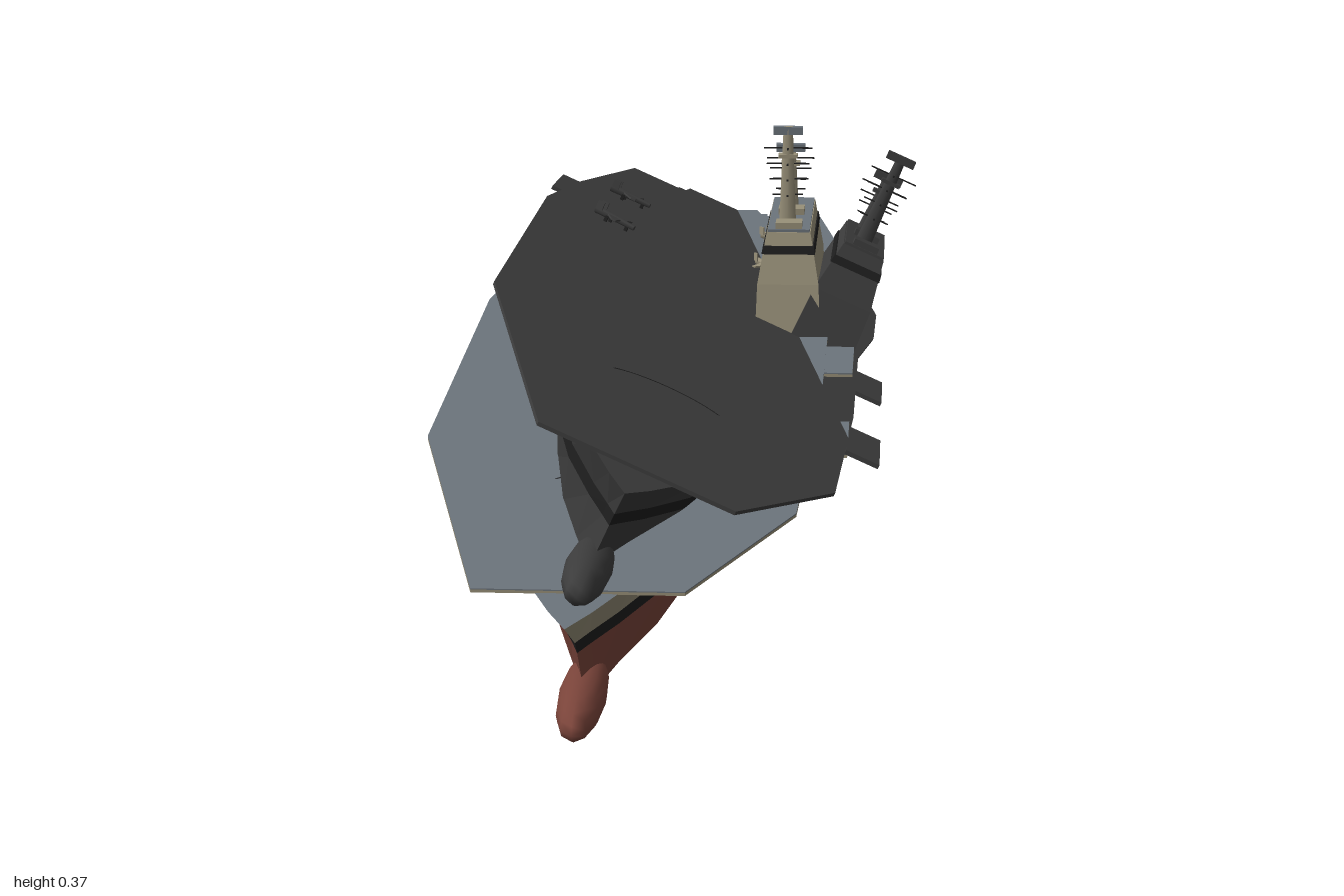
import * as THREE from 'three';

const DECK = 0.142;
const mat = (name, color, double = true) => {
  const m = new THREE.MeshStandardMaterial({ color });
  m.name = name;
  if (double) m.side = THREE.DoubleSide;
  return m;
};

// Skin between rows of [x, y, z] points, flat shaded; closed rows wrap round, caps close the ends
function loft(rows, { closed = false, capStart = false, capEnd = false } = {}) {
  const p = [], n = rows[0].length;
  const tri = (...pts) => pts.forEach(v => p.push(...v));
  for (let i = 0; i < rows.length - 1; i++) {
    for (let j = 0; j < (closed ? n : n - 1); j++) {
      const k = (j + 1) % n, a = rows[i][j], b = rows[i][k], c = rows[i + 1][k], d = rows[i + 1][j];
      tri(a, b, c); tri(a, c, d);
    }
  }
  const fan = (r, flip) => {
    for (let j = 1; j < n - 1; j++) flip ? tri(r[0], r[j + 1], r[j]) : tri(r[0], r[j], r[j + 1]);
  };
  if (capStart) fan(rows[0], true);
  if (capEnd) fan(rows[rows.length - 1], false);
  const g = new THREE.BufferGeometry();
  g.setAttribute('position', new THREE.Float32BufferAttribute(p, 3));
  g.computeVertexNormals();
  return g;
}

function add(parent, name, geo, material, x = 0, y = 0, z = 0) {
  const m = new THREE.Mesh(geo, material);
  m.name = name;
  m.position.set(x, y, z);
  parent.add(m);
  return m;
}
const box = (w, h, d) => new THREE.BoxGeometry(w, h, d);

// Tapered block from levels [y, x0, x1, z0, z1]
const block = levels => loft(
  levels.map(([y, a, b, c, d]) => [[a, y, d], [b, y, d], [b, y, c], [a, y, c]]),
  { closed: true, capStart: true, capEnd: true });

// Hull stations: [position along length, width, top width, keel rise, waterline rise]
const STATIONS = [
  [-1, 0.62, 0.78, 0.045, 0], [-0.8, 0.8, 0.88, 0.022, 0], [-0.55, 0.95, 0.97, 0.002, 0],
  [-0.3, 1, 1, 0, 0], [0.25, 1, 1, 0, 0], [0.5, 0.82, 0.9, 0, 0.002], [0.7, 0.55, 0.7, 0, 0.008],
  [0.86, 0.25, 0.4, 0.003, 0.015], [0.95, 0.08, 0.16, 0.008, 0.021], [1, 0, 0, 0.012, 0.025],
];
// Hull levels: [half width, height, bow end, stern end]
const LEVELS = [
  [0.035, 0.002, 0.8, -0.93], [0.085, 0.02, 0.83, -0.95], [0.105, 0.06, 0.89, -0.975],
  [0.107, 0.075, 0.91, -0.98], [0.115, 0.139, 1, -0.985],
];
function hullPoint(l, [u, w, wt, keel, rise], side) {
  const [half, y, bow, stern] = LEVELS[l];
  const lift = l < 2 ? keel : l < 4 ? rise : 0;
  return [side * half * (l === 4 ? wt : w), y + lift, u > 0 ? u * bow : -u * stern];
}
// Strip of hull between two levels on one side
const strip = (a, b, side) => {
  const rows = [];
  for (let l = a; l <= b; l++) rows.push(STATIONS.map(s => hullPoint(l, s, side)));
  return loft(side > 0 ? rows.map(r => r.reverse()) : rows);
};

// Flight deck outline, [x, z]
const OUTLINE = [
  [-0.09, 0.895], [0.092, 0.895], [0.178, 0.63], [0.19, 0.2], [0.19, -0.2], [0.208, -0.4], [0.21, -0.6],
  [0.163, -0.95], [0.085, -0.95], [0.075, -0.998], [-0.075, -0.998], [-0.08, -0.95],
  [-0.155, -0.95], [-0.2, -0.6], [-0.22, -0.35], [-0.2, 0.35],
];
function plate(y0, y1) {
  const s = new THREE.Shape(OUTLINE.map(([x, z]) => new THREE.Vector2(x, -z)));
  const g = new THREE.ExtrudeGeometry(s, { depth: y1 - y0, bevelEnabled: false });
  return g.rotateX(-Math.PI / 2).translate(0, y0, 0);
}

function aircraft(c) {
  const g = new THREE.Group();
  g.name = 'parkedAircraft';
  add(g, 'fuselage', new THREE.CylinderGeometry(0.003, 0.005, 0.055, 6).rotateX(Math.PI / 2), c.upper, 0, 0.008, 0);
  const wing = new THREE.Shape([[-0.025, -0.012], [0, -0.008], [0.025, -0.012], [0.025, -0.006], [0, 0.012], [-0.025, -0.006]]
    .map(([x, y]) => new THREE.Vector2(x, y)));
  add(g, 'wings', new THREE.ExtrudeGeometry(wing, { depth: 0.002, bevelEnabled: false }).rotateX(-Math.PI / 2), c.upper, 0, 0.008, 0);
  for (const x of [-0.006, 0.006]) add(g, 'tailFin', box(0.0015, 0.01, 0.009), c.upper, x, 0.015, -0.022);
  for (const [x, z] of [[0, 0.018], [-0.007, -0.008], [0.007, -0.008]]) add(g, 'wheel', box(0.002, 0.007, 0.004), c.band, x, 0.0035, z);
  return g;
}

function mast(c, base, top) {
  const g = new THREE.Group();
  g.name = 'mast';
  const h = top - base;
  add(g, 'pole', new THREE.CylinderGeometry(0.006, 0.011, h, 6), c.upper, 0, base + h / 2, 0);
  [0.3, 0.46, 0.62, 0.78].forEach((t, i) => {
    add(g, 'yard', box(0.035 + i * 0.007, 0.0015, 0.002), c.band, 0, base + h * t, 0);
    add(g, 'crossYard', box(0.002, 0.0015, 0.03), c.band, 0, base + h * t, 0);
  });
  add(g, 'platform', box(0.022, 0.004, 0.018), c.upper, 0, base + h * 0.7, 0);
  add(g, 'radar', box(0.034, 0.009, 0.012), c.deck, 0, top - 0.0045, 0);
  return g;
}

function makeShip(c) {
  const ship = new THREE.Group();
  // Hull in three bands of colour
  for (const side of [-1, 1]) {
    add(ship, 'lowerHull', strip(0, 2, side), c.lower);
    add(ship, 'waterlineBand', strip(2, 3, side), c.band);
    add(ship, 'upperHull', strip(3, 4, side), c.upper);
  }
  const across = l => loft([STATIONS.map(s => hullPoint(l, s, -1)), STATIONS.map(s => hullPoint(l, s, 1))]);
  add(ship, 'keel', across(0), c.lower);
  add(ship, 'foredeck', across(4), c.deck);
  const transom = (a, b) => {
    const rows = [];
    for (let l = a; l <= b; l++) rows.push([-1, 1].map(s => hullPoint(l, STATIONS[0], s)));
    return loft(rows);
  };
  add(ship, 'lowerTransom', transom(0, 2), c.lower);
  add(ship, 'transomBand', transom(2, 3), c.band);
  add(ship, 'upperTransom', transom(3, 4), c.upper);
  add(ship, 'bulbousBow', new THREE.SphereGeometry(1, 12, 10).scale(0.021, 0.021, 0.11), c.lower, 0, 0.031, 0.84);
  for (const x of [-0.04, 0.04]) {
    add(ship, 'rudder', box(0.006, 0.05, 0.07), c.lower, x, 0.033, -0.87);
    add(ship, 'propellerShaft', new THREE.CylinderGeometry(0.005, 0.005, 0.16, 6).rotateX(Math.PI / 2), c.lower, x, 0.025, -0.74);
  }

  // Flight deck with side lifts
  add(ship, 'deckEdge', plate(0.1385, 0.141), c.upper);
  add(ship, 'flightDeck', plate(0.141, DECK), c.deck);
  for (const [x, z] of [[0.203, 0.33], [0.203, -0.035], [-0.206, -0.52]]) {
    add(ship, 'sideLift', box(0.036, 0.0015, 0.136), c.deck, x, DECK - 0.0008, z);
    add(ship, 'liftFrame', box(0.036, 0.003, 0.136), c.upper, x, DECK - 0.003, z);
  }
  add(ship, 'deckArc', new THREE.TorusGeometry(0.07, 0.002, 3, 12, 1.8)
    .rotateZ(-Math.PI / 2 - 0.9).rotateX(Math.PI / 2).scale(1, 0.4, 1), c.band, 0, DECK, 0.56);

  // Island
  const island = new THREE.Group();
  island.name = 'island';
  ship.add(island);
  add(island, 'tower', block([
    [DECK, 0.107, 0.181, -0.43, -0.155], [0.2, 0.109, 0.179, -0.42, -0.165], [0.258, 0.119, 0.169, -0.405, -0.18],
  ]), c.upper);
  add(island, 'windows', block([
    [0.234, 0.1135, 0.1745, -0.413, -0.171], [0.243, 0.115, 0.173, -0.411, -0.173],
  ]), c.band);
  add(island, 'roof', box(0.048, 0.003, 0.222), c.deck, 0.144, 0.2595, -0.2925);
  for (const z of [-0.295, -0.2]) add(island, 'roofHouse', box(0.03, 0.008, 0.03), c.upper, 0.144, 0.264, z);
  for (const [z, top] of [[-0.24, 0.371], [-0.345, 0.335]]) {
    const m = mast(c, 0.258, top);
    m.position.set(0.141, 0, z);
    island.add(m);
  }

  // Parked aircraft
  for (const [x, z, r] of [[0.11, -0.74, 0.7], [0.107, -0.55, 0.5], [-0.135, -0.6, 1.4], [-0.135, -0.36, 1.2]]) {
    const a = aircraft(c);
    a.position.set(x, DECK, z);
    a.rotation.y = r;
    ship.add(a);
  }
  return ship;
}

export function createModel() {
  const model = new THREE.Group();
  const black = mat('black', 0x1e1e1e);
  const charcoal = mat('charcoal', 0x3c3c3c);
  const painted = {
    upper: mat('warm grey', 0x989079), lower: mat('hull red', 0x7a443a),
    deck: mat('deck grey', 0x6c747c), band: black,
  };
  const dark = { upper: charcoal, lower: charcoal, deck: charcoal, band: black };

  const upright = makeShip(painted);
  upright.name = 'uprightShip';
  upright.position.x = -0.035;
  model.add(upright);

  // Dark twin, rolled to its left with the bow raised, turning about the deck centre
  const twin = makeShip(dark);
  twin.name = 'darkShip';
  twin.position.y = -DECK;
  const pivot = new THREE.Group();
  pivot.name = 'tiltedShip';
  pivot.position.set(0.016, 0.1985, 0);
  pivot.rotation.set(-0.058, 0, -0.419);
  pivot.add(twin);
  model.add(pivot);
  return model;
}
